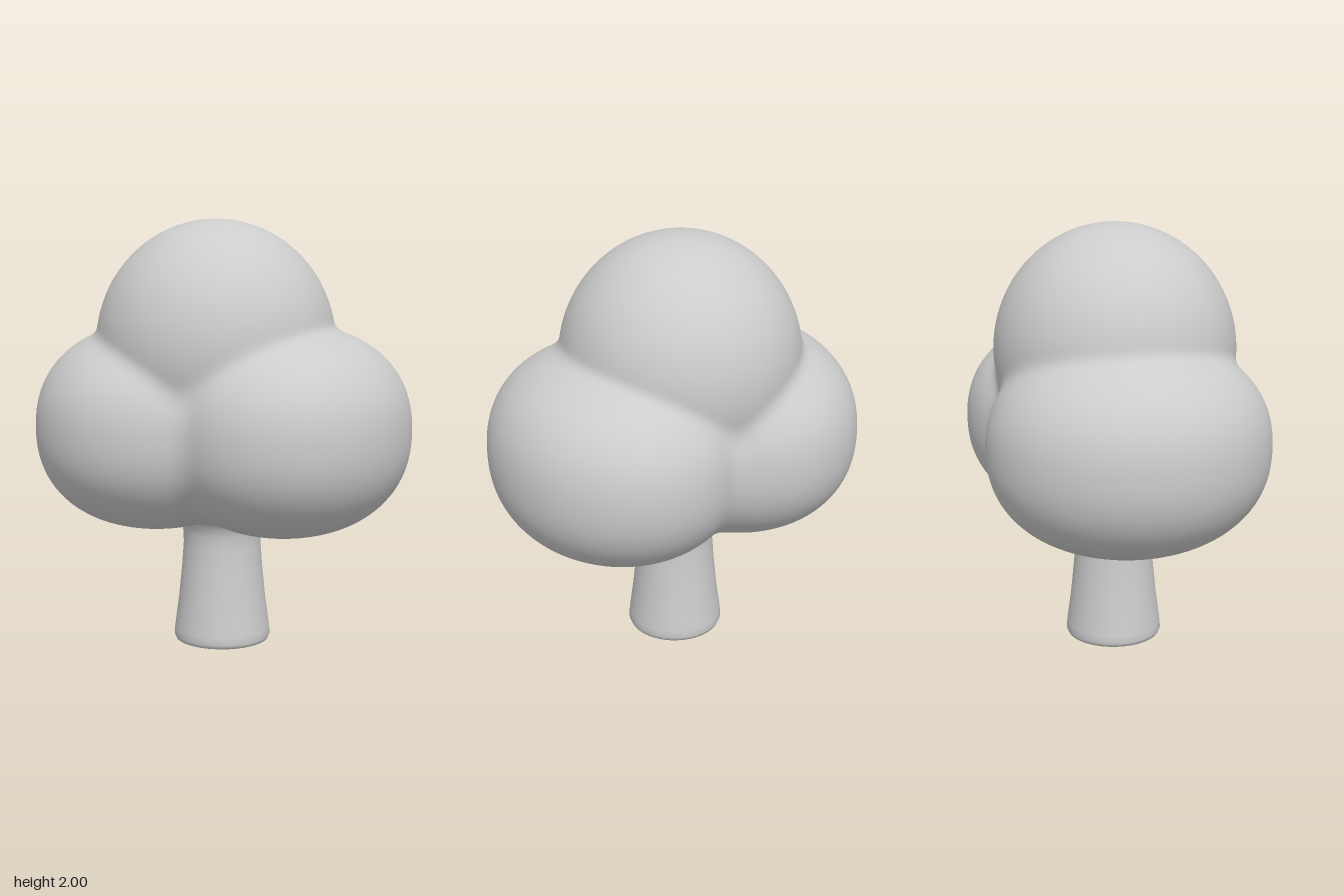
import * as THREE from 'three';
import { mergeVertices } from 'three/addons/utils/BufferGeometryUtils.js';

const grey = new THREE.MeshStandardMaterial({ color: 0xcccccc });
grey.name = 'plain grey';

// Lobes of the canopy: centre, radii and fullness (2 is an ellipsoid, more is fuller in height)
const lobe = (x, y, rx, ry, rz, fullness) => ({
  centre: new THREE.Vector3(x, y, 0), radii: new THREE.Vector3(rx, ry, rz), fullness,
});
const topLobe = lobe(-0.03, 1.42, 0.56, 0.58, 0.56, 2);
const rightLobe = lobe(-0.31, 1.03, 0.583, 0.49, 0.648, 2.25);
const leftLobe = lobe(0.31, 1.03, 0.583, 0.49, 0.648, 2.25);
const core = new THREE.Vector3(0, 1.2, 0); // lies inside all three lobes

// Distance from the core to the far side of a lobe along a direction, by halving
function exitDistance(direction, { centre, radii, fullness }) {
  const p = new THREE.Vector3();
  let inside = 0, outside = 2;
  for (let i = 0; i < 30; i++) {
    const middle = (inside + outside) / 2;
    p.copy(core).addScaledVector(direction, middle).sub(centre).divide(radii);
    const value = Math.hypot(p.x, p.z) ** fullness + Math.abs(p.y) ** fullness;
    if (value < 1) inside = middle;
    else outside = middle;
  }
  return inside;
}

// Maximum with a rounded transition of width k, for soft creases between lobes
function smoothMax(a, b, k) {
  const h = Math.max(k - Math.abs(a - b), 0);
  return Math.max(a, b) + (h * h) / (4 * k);
}

// Canopy: a sphere pushed out to the blended surface of the lobes
function canopyGeometry() {
  let geometry = new THREE.SphereGeometry(1, 128, 96);
  const position = geometry.attributes.position;
  const v = new THREE.Vector3();
  for (let i = 0; i < position.count; i++) {
    v.fromBufferAttribute(position, i).normalize();
    const sides = smoothMax(exitDistance(v, rightLobe), exitDistance(v, leftLobe), 0.1);
    const reach = smoothMax(sides, exitDistance(v, topLobe), 0.05);
    v.multiplyScalar(reach).add(core);
    position.setXYZ(i, v.x, v.y, v.z);
  }
  geometry.deleteAttribute('normal');
  geometry.deleteAttribute('uv');
  geometry = mergeVertices(geometry, 1e-4);
  geometry.computeVertexNormals();
  return geometry;
}

// Trunk: tapering, with a rounded foot and a flare where it meets the canopy
function trunkGeometry() {
  const profile = [
    [0, 0], [0.2, 0], [0.222, 0.006], [0.23, 0.025], [0.227, 0.06], [0.208, 0.2],
    [0.192, 0.36], [0.184, 0.47], [0.185, 0.53], [0.195, 0.57], [0.215, 0.6], [0.245, 0.63],
  ].map(([x, y]) => new THREE.Vector2(x, y));
  return new THREE.LatheGeometry(profile, 40);
}

export function createModel() {
  const model = new THREE.Group();
  model.name = 'tree';
  for (const [name, geometry] of [['canopy', canopyGeometry()], ['trunk', trunkGeometry()]]) {
    const mesh = new THREE.Mesh(geometry, grey);
    mesh.name = name;
    model.add(mesh);
  }
  return model;
}
